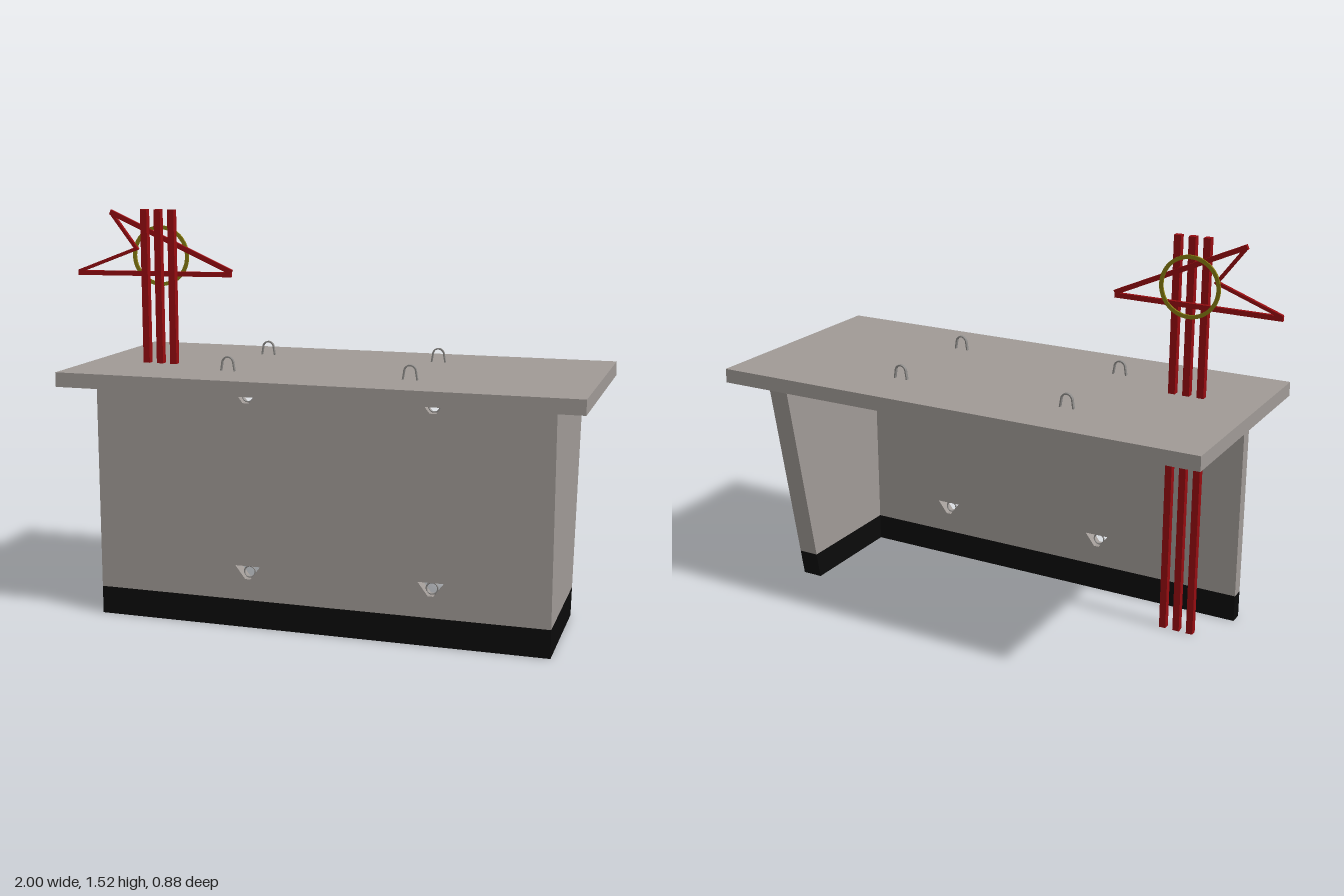
import * as THREE from 'three';

const mat = (name, color) => {
  const m = new THREE.MeshStandardMaterial({ color });
  m.name = name;
  return m;
};

export function createModel() {
  const root = new THREE.Group();
  root.name = 'receptionDesk';
  const grey = mat('warm grey', 0xa09a96);
  const black = mat('plinth black', 0x0b0b0b);
  const red = mat('dark red', 0x960c10);
  const olive = mat('olive gold', 0x857a10);
  const steel = mat('steel', 0x8c8a88);

  const add = (name, geometry, material, parent = root) => {
    const mesh = new THREE.Mesh(geometry, material);
    mesh.name = name;
    parent.add(mesh);
    return mesh;
  };
  // Box given by its minimum and maximum corners
  const box = (name, a, b, material, parent) => {
    const mesh = add(name, new THREE.BoxGeometry(b[0] - a[0], b[1] - a[1], b[2] - a[2]), material, parent);
    mesh.position.set((a[0] + b[0]) / 2, (a[1] + b[1]) / 2, (a[2] + b[2]) / 2);
    return mesh;
  };
  const poly = (points) => new THREE.Shape(points.map(([x, y]) => new THREE.Vector2(x, y)));
  const extrude = (shape, depth) =>
    new THREE.ExtrudeGeometry(shape, { depth, bevelEnabled: false, curveSegments: 24 });

  const topY = 0.94, underY = 0.886, baseY = 0.105;
  const xMin = -0.82, xMax = 0.89, xIn = 0.81, front = 0.33, inner = 0.28;
  const slotX = [-0.23, 0.46];

  // Table top
  box('tableTop', [-0.93, underY, -0.44], [1, topY, 0.44], grey);

  // Front panel with notches under the top and triangular slots lower down
  const outline = [[xMin, baseY], [xIn, baseY], [xIn, underY]];
  for (const x of [...slotX].reverse()) {
    outline.push([x + 0.045, underY], [x + 0.012, 0.843], [x - 0.012, 0.843], [x - 0.045, underY]);
  }
  outline.push([xMin, underY]);
  const panel = poly(outline);
  for (const x of slotX) {
    panel.holes.push(poly([[x - 0.048, 0.235], [x - 0.01, 0.185], [x + 0.01, 0.185], [x + 0.048, 0.235]]));
  }
  add('frontPanel', extrude(panel, front - inner), grey).position.z = inner;
  box('frontPlinth', [xMin, 0, inner], [xIn, baseY, front], black);

  // Tapered end panel and its plinth, drawn in z and y
  const backZ = (y) => -0.165 - 0.165 * y / underY;
  const endPanel = (name, y0, y1, material) => {
    const shape = poly([[backZ(y0), y0], [front, y0], [front, y1], [backZ(y1), y1]]);
    const mesh = add(name, extrude(shape, xMax - xIn).rotateY(-Math.PI / 2), material);
    mesh.position.x = xMax;
  };
  endPanel('endPanel', baseY, underY, grey);
  endPanel('endPlinth', 0, baseY, black);

  // Lifting loops: narrow arched bands
  const arch = new THREE.Shape();
  arch.moveTo(0.029, 0);
  arch.lineTo(0.024, 0.03);
  arch.absarc(0, 0.03, 0.024, 0, Math.PI, false);
  arch.lineTo(-0.029, 0);
  arch.lineTo(-0.024, 0);
  arch.lineTo(-0.019, 0.03);
  arch.absarc(0, 0.03, 0.019, Math.PI, 0, true);
  arch.lineTo(0.024, 0);
  arch.closePath();
  const archGeometry = extrude(arch, 0.012).translate(0, 0, -0.006);
  for (const x of [-0.34, 0.35]) {
    for (const z of [-0.22, 0.22]) {
      add('liftingLoop', archGeometry, steel).position.set(x, topY, z);
    }
  }

  // Small rings set in the panel slots
  for (const x of slotX) {
    for (const y of [0.208, 0.866]) {
      add('slotRing', new THREE.TorusGeometry(0.021, 0.003, 8, 24), steel).position.set(x, y, 0.305);
    }
  }

  // Three posts passing down to the floor
  const sign = new THREE.Group();
  sign.name = 'postSign';
  root.add(sign);
  for (const x of [-0.71, -0.655, -0.6]) {
    box('post', [x - 0.013, 0, 0.098], [x + 0.013, 1.52, 0.124], red, sign);
  }

  // Pointed frame made of four straight bars
  const bar = (x0, y0, x1, y1, w) => {
    const length = Math.hypot(x1 - x0, y1 - y0);
    const mesh = add('frameBar', new THREE.BoxGeometry(length, w, 0.014), red, sign);
    mesh.position.set((x0 + x1) / 2, (y0 + y1) / 2, 0.091);
    mesh.rotation.z = Math.atan2(y1 - y0, x1 - x0);
  };
  bar(-0.86, 1.507, -0.372, 1.29, 0.018);
  bar(-1, 1.274, -0.372, 1.281, 0.018);
  bar(-0.997, 1.28, -0.752, 1.372, 0.012);
  bar(-0.752, 1.366, -0.858, 1.505, 0.012);

  // Flat ring behind the posts
  const ring = new THREE.Shape();
  ring.absarc(0, 0, 0.114, 0, Math.PI * 2, false);
  const hole = new THREE.Path();
  hole.absarc(0, 0, 0.1, 0, Math.PI * 2, true);
  ring.holes.push(hole);
  add('flatRing', extrude(ring, 0.008), olive, sign).position.set(-0.66, 1.345, 0.078);

  return root;
}
